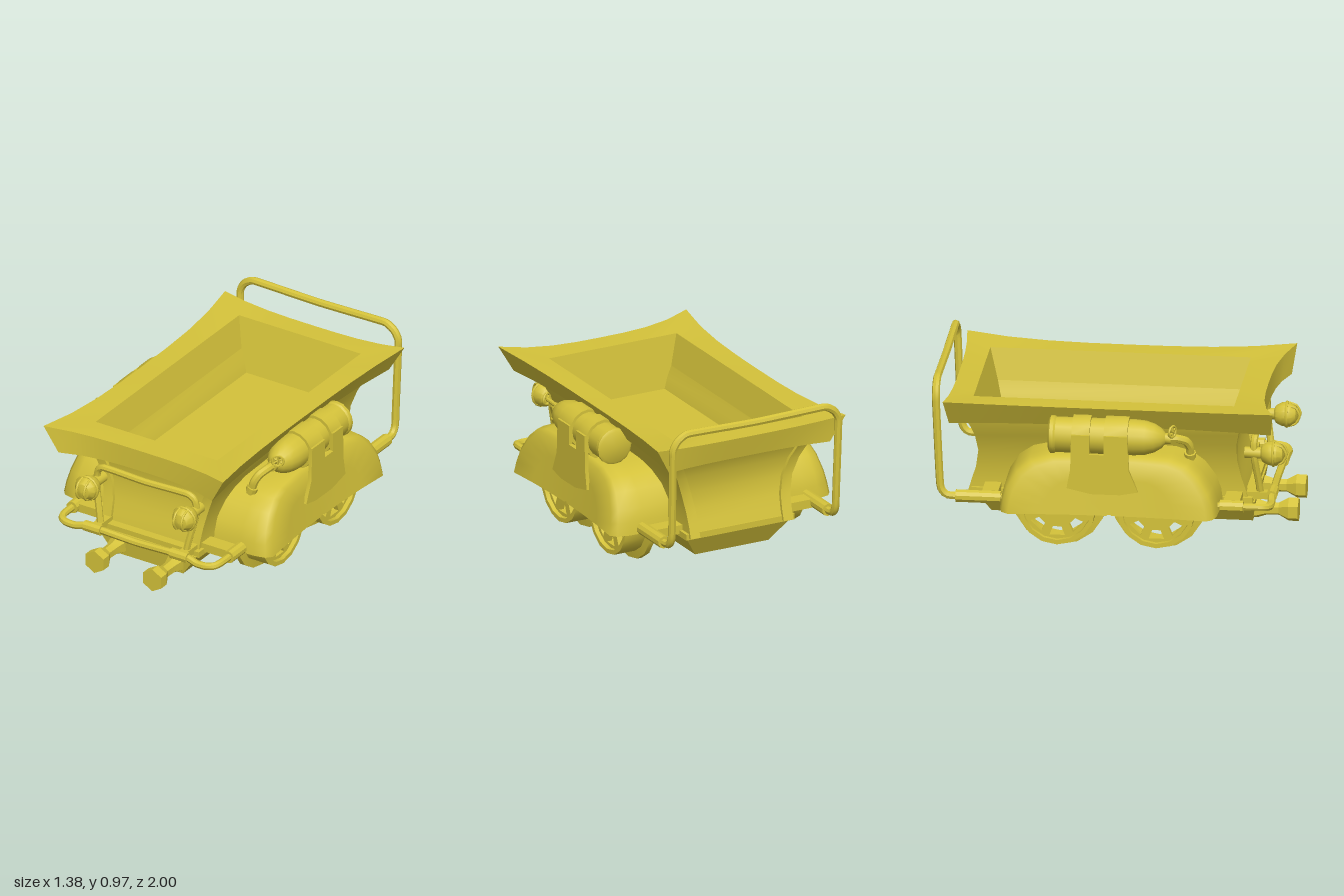
import * as THREE from 'three';
import { toCreasedNormals } from 'three/addons/utils/BufferGeometryUtils.js';

const V = (x, y, z) => new THREE.Vector3(x, y, z);
const paint = new THREE.MeshStandardMaterial({ color: 0xd4c23a, side: THREE.DoubleSide });

function add(parent, name, geometry, crease = 0.6) {
  const mesh = new THREE.Mesh(toCreasedNormals(geometry, crease), paint);
  mesh.name = name;
  parent.add(mesh);
  return mesh;
}

// Skin over cross-sections that all have the same number of points
function loft(rings, { closed = true, capStart = false, capEnd = false } = {}) {
  const n = rings[0].length, pos = [], index = [];
  rings.flat().forEach(p => pos.push(p.x, p.y, p.z));
  for (let i = 0; i < rings.length - 1; i++)
    for (let j = 0; j < (closed ? n : n - 1); j++) {
      const k = (j + 1) % n, a = i * n + j, b = i * n + k;
      index.push(a, b, b + n, a, b + n, a + n);
    }
  const cap = (ring, start, flip) => {
    const c = ring.reduce((s, p) => s.add(p), V(0, 0, 0)).divideScalar(n);
    const m = pos.length / 3;
    pos.push(c.x, c.y, c.z);
    for (let j = 0; j < n; j++) {
      const a = start + j, b = start + (j + 1) % n;
      index.push(m, flip ? b : a, flip ? a : b);
    }
  };
  if (capStart) cap(rings[0], 0, true);
  if (capEnd) cap(rings[rings.length - 1], (rings.length - 1) * n, false);
  const g = new THREE.BufferGeometry();
  g.setAttribute('position', new THREE.Float32BufferAttribute(pos, 3));
  g.setIndex(index);
  return g;
}

// Rectangle section at height y, with edges bowed inward and sagging between corners
function ring(y, hx, zf, zb, { bow = 0, bowF = 0, bowB = 0, sag = 0, n = 8 } = {}) {
  const pts = [], mid = (zf + zb) / 2, hz = (zf - zb) / 2;
  for (let side = 0; side < 4; side++)
    for (let i = 0; i < n; i++) {
      const t = 1 - 2 * i / n, s = side < 2 ? 1 : -1;
      const f = 1 - Math.abs(t) ** 3;
      if (side % 2 === 0) pts.push(V(s * (hx - bow * f), y - sag * f, mid + s * t * hz));
      else pts.push(V(s * t * hx, y - sag * f, s > 0 ? zb + bowB * f : zf - bowF * f));
    }
  return pts;
}

const tube = (pts, r, seg = 60) => new THREE.TubeGeometry(
  new THREE.CatmullRomCurve3(pts, false, 'catmullrom', 0.3), seg, r, 8);
const mirrored = half => [...half, ...half.slice(0, -1).reverse().map(p => V(-p.x, p.y, p.z))];
const rod = (r0, r1, len, sides = 10) => new THREE.CylinderGeometry(r1, r0, len, sides);
const alongZ = g => g.rotateX(Math.PI / 2);

function makeWheel() {
  const wheel = new THREE.Group();
  const profile = [[.19, .40], [.26, .40], [.26, .43], [.215, .435], [.215, .565], [.19, .565], [.19, .40]]
    .map(p => new THREE.Vector2(...p));
  add(wheel, 'wheelRim', new THREE.LatheGeometry(profile, 16).rotateZ(-Math.PI / 2));
  // Spoked disc
  const disc = new THREE.Shape().absarc(0, 0, .2, 0, Math.PI * 2);
  for (let i = 0; i < 8; i++) {
    const a = i * Math.PI / 4;
    const at = (r, d) => new THREE.Vector2(r * Math.cos(a + d), r * Math.sin(a + d));
    disc.holes.push(new THREE.Path([at(.12, -.2), at(.12, .2), at(.172, .25), at(.172, -.25)]));
  }
  add(wheel, 'spokes', new THREE.ExtrudeGeometry(disc, { depth: .03, bevelEnabled: false, curveSegments: 8 })
    .rotateY(Math.PI / 2).translate(.51, 0, 0));
  add(wheel, 'hub', rod(.06, .045, .16, 12).rotateZ(-Math.PI / 2).translate(.475, 0, 0));
  return wheel;
}

function makeFender() {
  // Arch profile as z, y, shrunk towards the outer face
  const arch = [[.595, .258], [.585, .33], [.56, .40], [.50, .49], [.43, .55], [.34, .58], [.15, .59], [-.1, .59],
    [-.34, .58], [-.45, .55], [-.53, .49], [-.585, .40], [-.605, .33], [-.615, .258]];
  const sections = [[.33, 1, 0], [.50, 1, 0], [.57, .995, .5], [.62, .97, .85], [.645, .91, 1],
    [.645, .6, 1], [.645, .3, 1], [.645, .02, 1]];
  return loft(sections.map(([x, s, w]) => arch.map(([z, y]) => {
    const pz = z * s, py = .258 + (y - .258) * s;
    return V(x + w * (.05 * (1 - (py - .258) / .33) - .035 * (1 - (pz / .6) ** 2)), py, pz);
  })), { closed: false });
}

function makeTank() {
  const tank = new THREE.Group();
  const cx = .535, cy = .68;
  const profile = [[0, -.345], [.09, -.345], [.105, -.335], [.105, -.315], [.098, -.305], [.1, .13], [.095, .19],
    [.08, .24], [.055, .28], [.03, .30], [.03, .33], [0, .33]].map(p => new THREE.Vector2(...p));
  add(tank, 'tankBody', alongZ(new THREE.LatheGeometry(profile, 16)).translate(cx, cy, 0));
  for (const [z, w] of [[.035, .13], [-.16, .10]])
    add(tank, 'strap', alongZ(rod(.116, .116, w, 16)).translate(cx, cy, z));
  // Notched saddle plate hanging over the fender; shape x is -z
  const plate = new THREE.Shape([[-.16, .40], [-.11, .52], [-.10, .72], [.03, .72], [.03, .61], [.11, .61],
    [.11, .72], [.21, .72], [.215, .52], [.235, .41], [.1, .38], [-.06, .38]].map(p => new THREE.Vector2(...p)));
  add(tank, 'saddle', new THREE.ExtrudeGeometry(plate, { depth: .022, bevelEnabled: false })
    .rotateY(Math.PI / 2).translate(.634, 0, 0));
  // Outlet pipe and valve
  add(tank, 'outletPipe', tube([V(cx, .68, .31), V(.53, .68, .36), V(.51, .66, .41), V(.49, .62, .43),
    V(.465, .54, .43)], .024, 24));
  add(tank, 'pipeCollar', rod(.033, .033, .03).rotateZ(-.35).translate(.475, .57, .43));
  add(tank, 'valveStem', tube([V(cx, .69, .32), V(.565, .72, .33), V(.60, .75, .34)], .012, 8));
  const valve = new THREE.Group();
  valve.name = 'valveWheel';
  add(valve, 'handwheel', new THREE.TorusGeometry(.032, .007, 6, 12));
  for (let i = 0; i < 3; i++)
    add(valve, 'valveSpoke', rod(.005, .005, .064, 6).rotateZ(i * Math.PI / 3));
  valve.position.set(.59, .74, .345);
  valve.rotation.y = .5;
  tank.add(valve);
  return tank;
}

function makeLamp() {
  const lamp = new THREE.Group();
  const profile = [[0, -.10], [.032, -.10], [.032, -.01], [.05, 0], [.066, .03], [.07, .055], [.066, .08],
    [.045, .11], [0, .125]].map(p => new THREE.Vector2(...p));
  add(lamp, 'lampHousing', alongZ(new THREE.LatheGeometry(profile, 12)));
  add(lamp, 'lampRing', new THREE.TorusGeometry(.068, .009, 6, 14).translate(0, 0, .06));
  for (const x of [-.025, .025])
    add(lamp, 'lampGuard', tube([V(x, .062, .06), V(x, .045, .11), V(x, 0, .132), V(x, -.045, .11),
      V(x, -.062, .06)], .007, 16));
  lamp.position.set(.32, .54, .815);
  return lamp;
}

function makeSide() {
  const side = new THREE.Group();
  add(side, 'fender', makeFender(), .8);
  for (const z of [.25, -.30]) {
    const wheel = makeWheel();
    wheel.name = 'wheel';
    wheel.position.set(0, .26, z);
    side.add(wheel);
  }
  for (const [name, part] of [['tank', makeTank()], ['lamp', makeLamp()]]) {
    part.name = name;
    side.add(part);
  }
  // Sleeves that hold the front and rear rails
  for (const [z, len] of [[.665, .13], [-.74, .25]])
    add(side, 'railSleeve', alongZ(rod(.036, .036, len)).translate(.515, .29, z));
  for (const z of [.66, -.68])
    add(side, 'railBracket', new THREE.BoxGeometry(.2, .05, .09).translate(.40, .285, z));
  add(side, 'bumperSleeve', rod(.031, .031, .11).rotateZ(Math.PI / 2).translate(.285, .295, .865));
  add(side, 'bumperArm', new THREE.BoxGeometry(.05, .04, .16).translate(.285, .285, .78));
  // Buffer
  const buffer = [[.055, .68], [.055, .77], [.038, .82], [.036, .89], [.068, .945], [.068, 1], [0, 1]]
    .map(p => new THREE.Vector2(...p));
  add(side, 'buffer', alongZ(new THREE.LatheGeometry(buffer, 6)).translate(.19, .17, 0), .3);
  return side;
}

export function createModel() {
  const cart = new THREE.Group();
  cart.name = 'mineCart';

  // Flared rim with the open hopper inside it
  add(cart, 'hopper', loft([
    ring(.71, .40, .66, -.78),
    ring(.71, .505, .88, -.905, { bow: .045, bowF: .07, bowB: .03 }),
    ring(.86, .59, .90, -.93, { bow: .06, bowF: .09, bowB: .025, sag: .025 }),
    ring(.835, .40, .665, -.78),
    ring(.54, .32, .62, -.70),
  ], { capEnd: true }), .45);

  // Waisted body with raised ribs at the corners of both ends
  const waist = [[.255, .32, .735, -.82], [.32, .32, .72, -.80], [.40, .325, .695, -.775], [.50, .345, .675, -.76],
    [.60, .38, .675, -.775], [.67, .415, .69, -.80], [.72, .43, .70, -.83]];
  add(cart, 'body', loft(waist.map(([y, hx, zf, zb]) => ring(y, hx, zf - .02, zb + .02, { n: 1 })),
    { capStart: true }), .5);
  for (const s of [-1, 1])
    add(cart, 'cornerRibs', loft(waist.map(([y, hx, zf, zb]) =>
      ring(y, .03, zf, zb, { n: 1 }).map(p => p.setX(p.x + s * (hx - .028)))), { capStart: true }), .5);

  // Underframe
  add(cart, 'basePlate', new THREE.BoxGeometry(.68, .035, 1.56).translate(0, .262, -.02));
  add(cart, 'keel', loft([ring(.11, .23, .75, -.70, { n: 1 }), ring(.25, .33, .77, -.78, { n: 1 })],
    { capStart: true, capEnd: true }), .3);
  for (const z of [.25, -.30])
    add(cart, 'axle', rod(.035, .035, .9).rotateZ(Math.PI / 2).translate(0, .26, z));

  // Rails
  add(cart, 'bumperRail', tube(mirrored([V(.515, .29, .58), V(.515, .29, .80), V(.50, .285, .85), V(.46, .28, .87),
    V(.40, .28, .872), V(.33, .295, .865), V(.2, .295, .865), V(0, .285, .86)]), .021, 100));
  add(cart, 'lampBar', tube(mirrored([V(.28, .28, .80), V(.295, .36, .79), V(.325, .50, .77), V(.325, .57, .765),
    V(.315, .61, .767), V(.28, .632, .77), V(.2, .632, .77), V(0, .628, .775)]), .02, 100));
  add(cart, 'rearRail', tube(mirrored([V(.515, .29, -.60), V(.515, .29, -.88), V(.515, .30, -.925),
    V(.515, .34, -.95), V(.515, .45, -.958), V(.52, .84, -.975), V(.515, .88, -.976), V(.49, .92, -.977),
    V(.44, .95, -.977), V(.36, .951, -.977), V(0, .944, -.977)]), .022, 160));

  // Wheels, fenders, tanks and lamps on both sides
  for (const s of [1, -1]) {
    const side = makeSide();
    side.name = s > 0 ? 'leftSide' : 'rightSide';
    side.scale.x = s;
    cart.add(side);
  }
  return cart;
}
